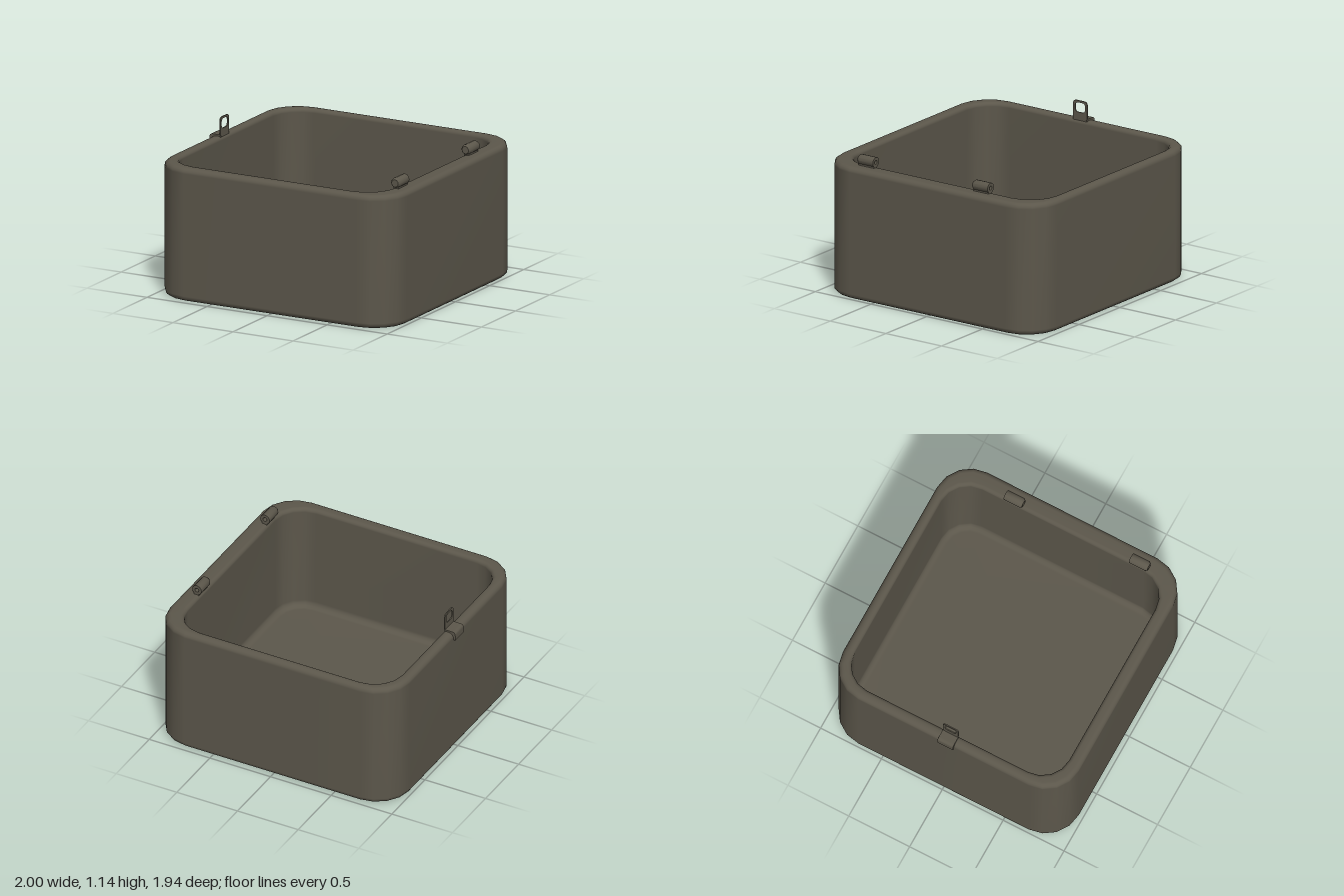
import * as THREE from 'three';
import { toCreasedNormals } from 'three/addons/utils/BufferGeometryUtils.js';

const CORNER_STEPS = 4;

// Rounded rectangle loop at height y
function ring({ cx, cz, hx, hz, r }, grow, y) {
  const pts = [];
  const w = hx + grow, d = hz + grow, rad = r + grow;
  const signs = [[1, 1], [-1, 1], [-1, -1], [1, -1]];
  signs.forEach(([sx, sz], q) => {
    for (let i = 0; i <= CORNER_STEPS; i++) {
      const a = (q + i / CORNER_STEPS) * Math.PI / 2;
      pts.push([cx + sx * (w - rad) + Math.cos(a) * rad, y, cz + sz * (d - rad) + Math.sin(a) * rad]);
    }
  });
  return pts;
}

// Skin a list of equal-length loops with smooth normals
function loft(rings) {
  const n = rings[0].length, index = [];
  for (let j = 0; j < rings.length - 1; j++) {
    for (let i = 0; i < n; i++) {
      const a = j * n + i, b = j * n + (i + 1) % n;
      index.push(a, a + n, b, b, a + n, b + n);
    }
  }
  const g = new THREE.BufferGeometry();
  g.setAttribute('position', new THREE.Float32BufferAttribute(rings.flat(2), 3));
  g.setIndex(index);
  g.computeVertexNormals();
  return g;
}

function roundedRect(path, x0, y0, x1, y1, r) {
  path.moveTo(x0 + r, y0);
  path.lineTo(x1 - r, y0);
  path.absarc(x1 - r, y0 + r, r, -Math.PI / 2, 0);
  path.lineTo(x1, y1 - r);
  path.absarc(x1 - r, y1 - r, r, 0, Math.PI / 2);
  path.lineTo(x0 + r, y1);
  path.absarc(x0 + r, y1 - r, r, Math.PI / 2, Math.PI);
  path.lineTo(x0, y0 + r);
  path.absarc(x0 + r, y0 + r, r, Math.PI, Math.PI * 1.5);
  return path;
}

export function createModel() {
  const model = new THREE.Group();
  const metal = new THREE.MeshStandardMaterial({ color: 0x5c574b });
  metal.name = 'dark olive metal';

  const add = (name, geometry, parent = model) => {
    const mesh = new THREE.Mesh(geometry, metal);
    mesh.name = name;
    parent.add(mesh);
    return mesh;
  };

  // Open box: underside, outer wall, rounded rim, inner wall, floor
  const outer = { cx: 0.005, cz: 0, hx: 0.99, hz: 0.97, r: 0.27 };
  const inner = { cx: -0.02, cz: -0.01, hx: 0.88, hz: 0.88, r: 0.22 };
  const center = (y) => ring({ ...inner, hx: 0, hz: 0, r: 0 }, 0, y);
  const rings = [center(0)];
  const bend = (base, bevel, y0, dy, from, to) => {
    for (let i = 0; i <= 4; i++) {
      const a = THREE.MathUtils.lerp(from, to, i / 4);
      rings.push(ring(base, bevel * (Math.cos(a) - 1), y0 + dy * Math.sin(a)));
    }
  };
  const H = Math.PI / 2;
  bend(outer, 0.04, 0.04, 0.04, -H, 0);
  bend(outer, 0.04, 0.96, 0.04, 0, H);
  bend(inner, -0.03, 0.97, 0.03, H, 0);
  bend(inner, 0.05, 0.2, 0.05, 0, -H);
  rings.push(center(0.15));
  add('box', loft(rings));

  // Hinge knuckles on the left rim, bored at the back end
  const profile = [[0, -0.02], [0.016, -0.02], [0.016, -0.073], [0.039, -0.073],
    [0.039, 0.058], [0.028, 0.073], [0, 0.073]].map(([x, y]) => new THREE.Vector2(x, y));
  const knuckle = toCreasedNormals(new THREE.LatheGeometry(profile, 12), 0.7);
  knuckle.rotateX(Math.PI / 2);
  for (const z of [0.613, -0.417]) {
    const hinge = new THREE.Group();
    hinge.name = 'hinge';
    hinge.position.set(0.885, 1.04, z);
    add('hingeKnuckle', knuckle, hinge);
    add('hingeFoot', new THREE.BoxGeometry(0.04, 0.04, 0.136), hinge).position.set(0.005, -0.035, -0.004);
    model.add(hinge);
  }

  // Clasp on the right rim: bent strap with an upright eyelet
  const clasp = new THREE.Group();
  clasp.name = 'clasp';
  clasp.position.z = 0.023;
  model.add(clasp);

  const strap = new THREE.Shape();
  strap.moveTo(-0.91, 1.012);
  strap.lineTo(-0.975, 1.012);
  strap.quadraticCurveTo(-1, 1.012, -1, 0.985);
  strap.lineTo(-1, 0.945);
  strap.lineTo(-0.985, 0.945);
  strap.lineTo(-0.96, 0.98);
  strap.lineTo(-0.91, 0.99);
  const strapGeo = new THREE.ExtrudeGeometry(strap, { depth: 0.126, bevelEnabled: false, curveSegments: 5 });
  strapGeo.translate(0, 0, -0.063);
  add('claspStrap', toCreasedNormals(strapGeo, 0.7), clasp);

  const plate = roundedRect(new THREE.Shape(), -0.063, 0.995, 0.063, 1.143, 0.025);
  plate.holes.push(roundedRect(new THREE.Path(), -0.045, 1.055, 0.045, 1.128, 0.025));
  const plateGeo = new THREE.ExtrudeGeometry(plate, { depth: 0.009, bevelEnabled: false, curveSegments: 5 });
  plateGeo.rotateY(Math.PI / 2);
  plateGeo.translate(-0.917, 0, 0);
  add('claspEyelet', toCreasedNormals(plateGeo, 0.7), clasp);

  return model;
}
